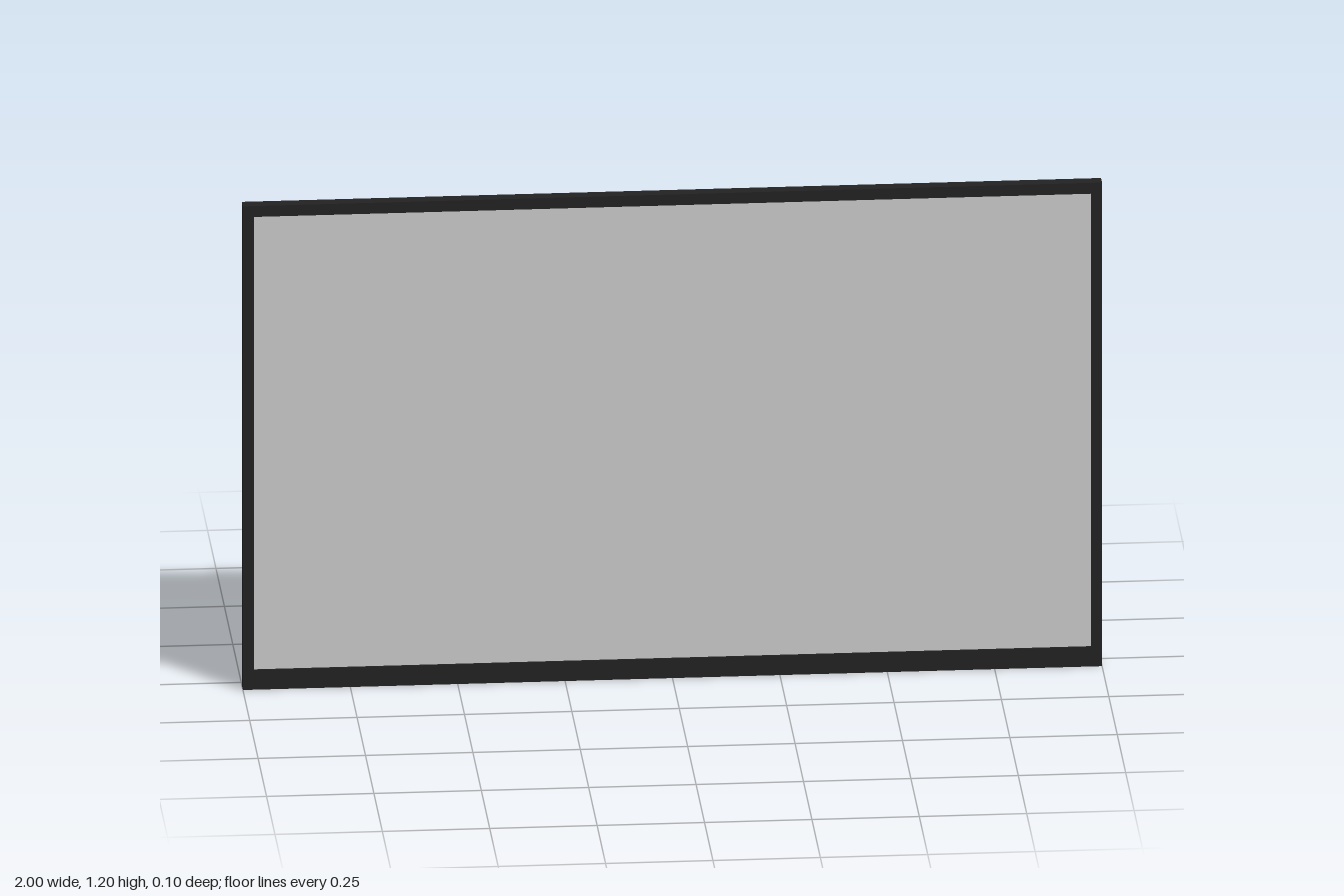
import * as THREE from 'three';

const dark = new THREE.MeshStandardMaterial({ color: 0x222222, flatShading: true });
const grey = new THREE.MeshStandardMaterial({ color: 0xcccccc });

// Adds the four corners of a rectangle to a shape or hole path
function rect(path, x0, y0, x1, y1) {
  path.moveTo(x0, y0);
  path.lineTo(x1, y0);
  path.lineTo(x1, y1);
  path.lineTo(x0, y1);
  path.closePath();
  return path;
}

export function createModel() {
  const group = new THREE.Group();
  const add = (name, geometry, material, y, z) => {
    const mesh = new THREE.Mesh(geometry, material);
    mesh.name = name;
    mesh.position.set(0, y, z);
    group.add(mesh);
  };

  // Thin slab behind the screen
  add('panelBody', new THREE.BoxGeometry(2, 1.2, 0.022), dark, 0.6, 0.031);

  // Raised border, with a wider strip along the bottom
  const border = rect(new THREE.Shape(), -1, 0, 1, 1.2);
  border.holes.push(rect(new THREE.Path(), -0.974, 0.049, 0.974, 1.173));
  add('bezel', new THREE.ExtrudeGeometry(border, { depth: 0.008, bevelEnabled: false }), dark, 0, 0.042);

  // Display surface, set just behind the front of the bezel
  add('screen', new THREE.PlaneGeometry(1.948, 1.124), grey, 0.611, 0.046);

  // Rear housing: a box whose back face is drawn in to slope its four sides
  const housing = new THREE.BoxGeometry(1.88, 1.08, 0.07);
  const p = housing.attributes.position;
  for (let i = 0; i < p.count; i++) {
    if (p.getZ(i) < 0) {
      p.setX(i, Math.sign(p.getX(i)) * 0.88);
      p.setY(i, Math.sign(p.getY(i)) * 0.48);
    }
  }
  housing.computeVertexNormals();
  add('rearHousing', housing, dark, 0.6, -0.015);

  return group;
}
